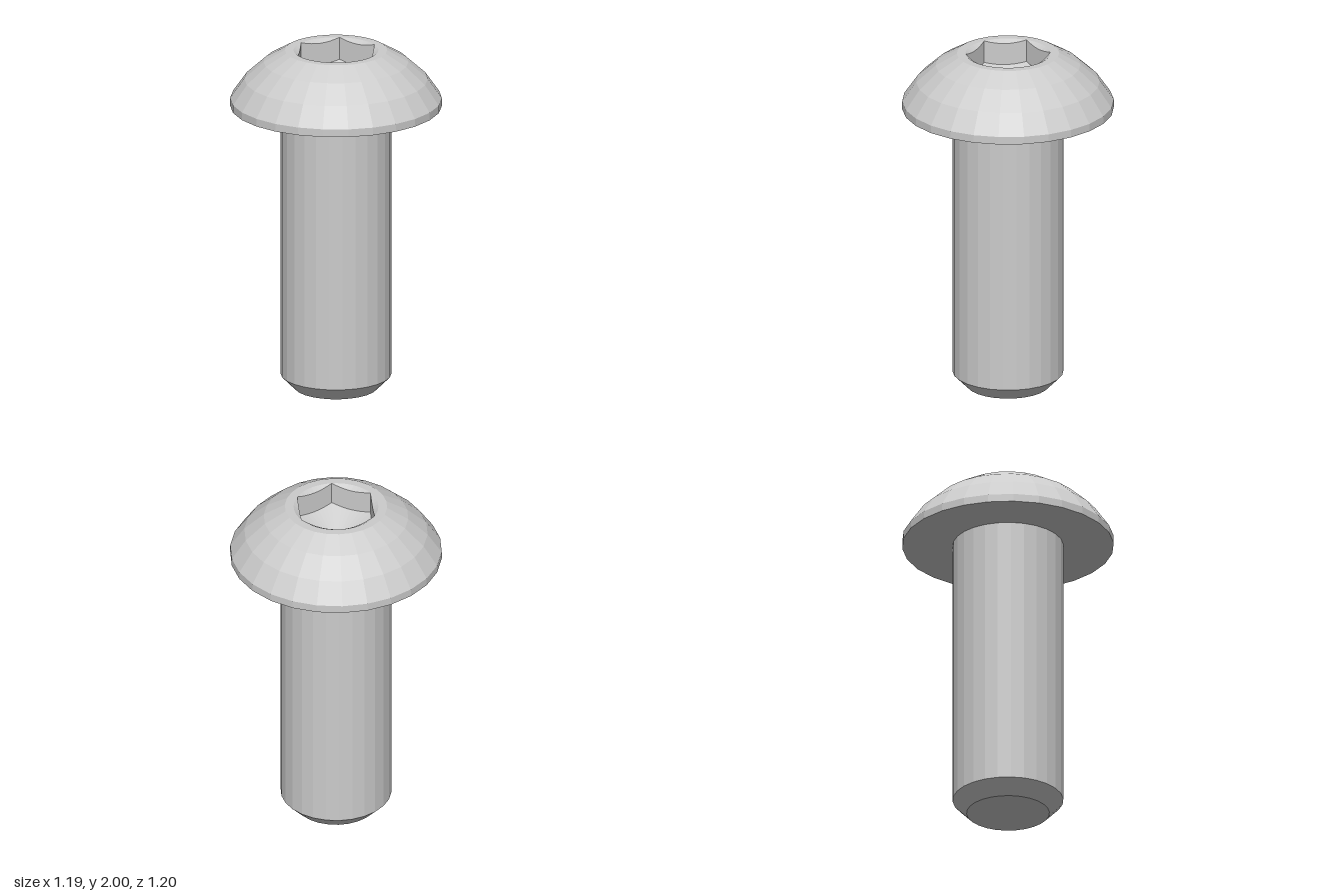
import * as THREE from 'three';

const SIDES = 26;
const RIM = 0.24; // socket rim radius, equal to the hexagon's corner radius
const TOP = 2;

const material = new THREE.MeshStandardMaterial({ color: 0xcccccc, flatShading: true });

function lathe(profile, sides = SIDES) {
  return new THREE.LatheGeometry(profile.map(([r, y]) => new THREE.Vector2(r, y)), sides);
}

function circle(radius, sides) {
  return Array.from({ length: sides }, (_, i) => {
    const a = (i / sides) * Math.PI * 2;
    return new THREE.Vector2(radius * Math.sin(a), radius * Math.cos(a));
  });
}

// Flat annulus around the socket opening
function rimGeometry() {
  const shape = new THREE.Shape(circle(0.29, SIDES));
  shape.holes.push(new THREE.Path(circle(RIM, 48)));
  return new THREE.ShapeGeometry(shape).rotateX(-Math.PI / 2).translate(0, TOP, 0);
}

// Round chamfer, six flat walls and a drilled conical floor
function socketGeometry() {
  const rings = 4;
  const geometry = lathe([[RIM, TOP], [RIM, TOP], [RIM, 1.87], [0, 1.75]], 48);
  const pos = geometry.attributes.position;
  for (let i = 0; i < pos.count; i++) {
    const ring = i % rings;
    if (ring !== 1 && ring !== 2) continue;
    const a = Math.floor(i / rings) / 48 * Math.PI * 2;
    const sector = Math.PI / 3;
    const fromFlat = a - Math.round(a / sector) * sector;
    const r = RIM * Math.cos(Math.PI / 6) / Math.cos(fromFlat);
    const y = ring === 1 ? TOP - (RIM - r) * 0.6 : 1.75 + r * 0.5;
    pos.setXYZ(i, r * Math.sin(a), y, r * Math.cos(a));
  }
  return geometry;
}

export function createModel() {
  const screw = new THREE.Group();
  screw.name = 'buttonHeadScrew';

  const add = (name, geometry) => {
    const mesh = new THREE.Mesh(geometry, material);
    mesh.name = name;
    screw.add(mesh);
  };

  // Shank with chamfered tip
  add('shank', lathe([[0, 0], [0.235, 0], [0.314, 0.08], [0.314, 1.67]]));

  // Domed head with flat underside
  add('head', lathe([[0.314, 1.67], [0.6, 1.67], [0.6, 1.715], [0.52, 1.83], [0.41, 1.93], [0.29, TOP]]));
  add('headTop', rimGeometry());
  add('hexSocket', socketGeometry());

  return screw;
}
